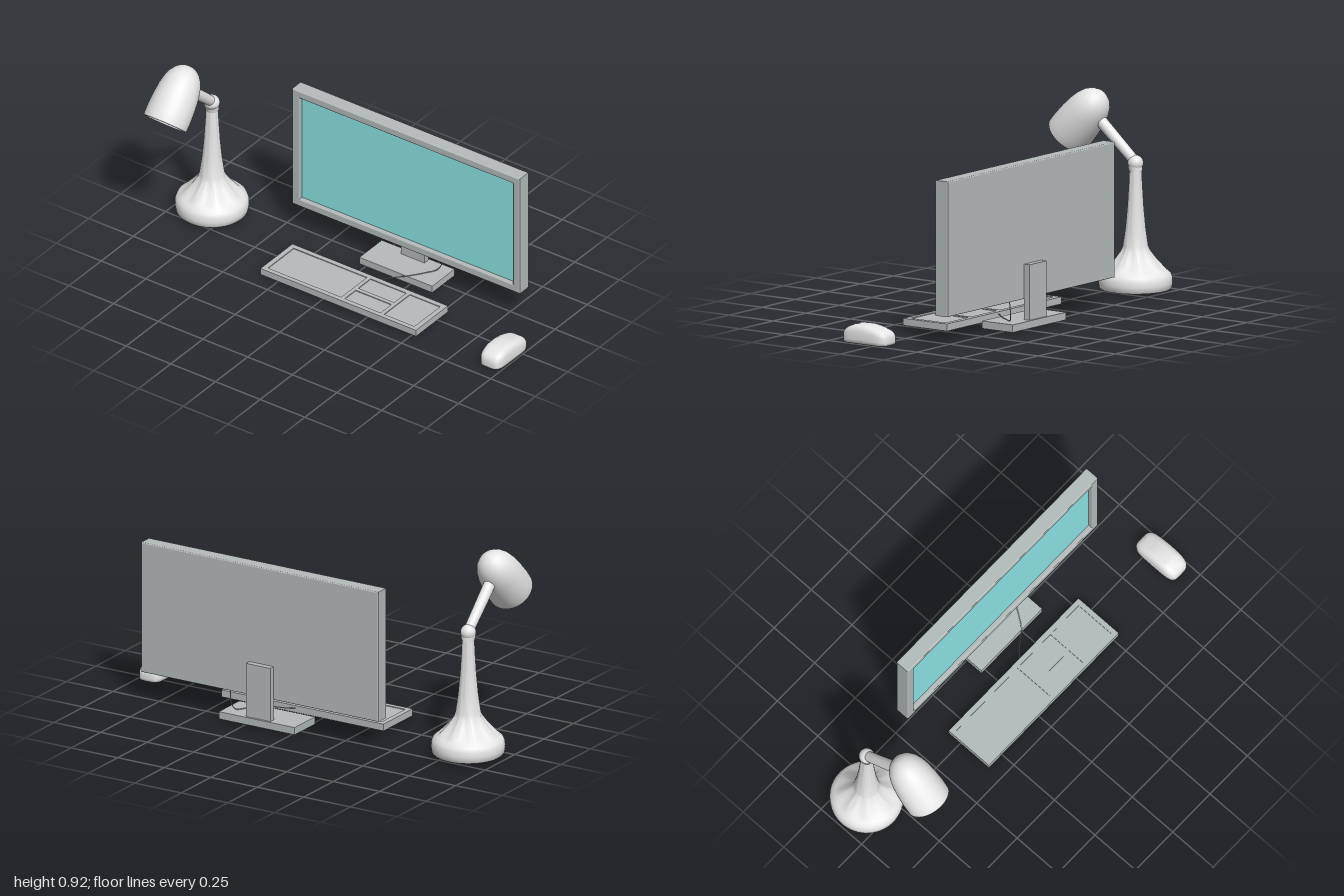
import * as THREE from 'three';
import { toCreasedNormals } from 'three/addons/utils/BufferGeometryUtils.js';

const mat = (name, color) => Object.assign(new THREE.MeshStandardMaterial({ color }), { name });
const V2 = (pts) => pts.map(([x, y]) => new THREE.Vector2(x, y));

export function createModel() {
  const model = new THREE.Group();
  const white = mat('lightGrey', 0xe6e6e6);
  white.side = THREE.DoubleSide;
  const grey = mat('midGrey', 0xb4bcbb);
  const teal = mat('screenTeal', 0x8ce4e6);

  const add = (name, geometry, material, parent = model) => {
    const mesh = new THREE.Mesh(geometry, material);
    mesh.name = name;
    parent.add(mesh);
    return mesh;
  };
  const group = (name) => {
    const g = new THREE.Group();
    g.name = name;
    model.add(g);
    return g;
  };
  // Box given by its limits on each axis
  const box = (name, [x0, x1], [y0, y1], [z0, z1], material, parent) => {
    const m = add(name, new THREE.BoxGeometry(x1 - x0, y1 - y0, z1 - z0), material, parent);
    m.position.set((x0 + x1) / 2, (y0 + y1) / 2, (z0 + z1) / 2);
  };
  const rect = (C, [x0, x1], [y0, y1]) => new C(V2([[x0, y0], [x1, y0], [x1, y1], [x0, y1]]));
  // Flat slab with rectangular holes; holes are [xRange, zRange]
  const slab = (name, xr, [y0, y1], [z0, z1], holes, material, parent) => {
    const s = rect(THREE.Shape, xr, [-z1, -z0]);
    for (const [hx, [a, b]] of holes) s.holes.push(rect(THREE.Path, hx, [-b, -a]));
    const g = new THREE.ExtrudeGeometry(s, { depth: y1 - y0, bevelEnabled: false });
    g.rotateX(-Math.PI / 2).translate(0, y0, 0);
    add(name, g, material, parent);
  };

  // ---- Monitor: rounded frame, back panel and recessed screen ----
  const monitor = group('monitor');
  const b = 0.005;
  const frame = rect(THREE.Shape, [-0.451 + b, 0.823 - b], [0.142 + b, 0.767 - b]);
  frame.holes.push(rect(THREE.Path, [-0.41 - b, 0.785 + b], [0.18 - b, 0.73 + b]));
  const frameGeo = new THREE.ExtrudeGeometry(frame, {
    depth: 0.061, bevelSize: b, bevelThickness: b, bevelSegments: 3,
  });
  add('monitorFrame', frameGeo, grey, monitor).position.z = -0.286;
  box('monitorBack', [-0.416, 0.791], [0.174, 0.736], [-0.291, -0.25], grey, monitor);
  box('screen', [-0.412, 0.787], [0.178, 0.732], [-0.25, -0.242], teal, monitor);

  // Stand: upright neck and a foot hollow underneath
  box('standNeck', [0.11, 0.24], [0.04, 0.303], [-0.32, -0.29], grey, monitor);
  const fx = [-0.027, 0.38], fz = [-0.33, -0.156];
  const inner = [[fx[0] + 0.025, fx[1] - 0.025], [fz[0] + 0.025, fz[1] - 0.025]];
  slab('standFootRim', fx, [0.012, 0.028], fz, [inner], grey, monitor);
  box('standFootTop', fx, [0.028, 0.047], fz, grey, monitor);

  // ---- Keyboard: rimmed shell with recessed key areas ----
  const keyboard = group('keyboard');
  const kx = [-0.34, 0.53], kz = [-0.07, 0.178];
  const areas = [
    [[-0.315, 0.095], [-0.045, 0.155]],
    [[0.115, 0.315], [-0.045, 0.05]],
    [[0.115, 0.315], [0.07, 0.155]],
    [[0.335, 0.505], [-0.045, 0.155]],
  ];
  const hollow = [[kx[0] + 0.025, kx[1] - 0.025], [kz[0] + 0.025, kz[1] - 0.025]];
  slab('keyboardRim', kx, [0.012, 0.029], kz, [hollow], grey, keyboard);
  slab('keyboardTop', kx, [0.029, 0.045], kz, areas, grey, keyboard);
  for (const [ax, az] of areas) box('keyArea', ax, [0.024, 0.041], az, grey, keyboard);

  // Cable from the keyboard to the bottom of the monitor
  const cable = new THREE.CatmullRomCurve3([
    [0.135, 0.033, -0.068], [0.165, 0.037, -0.1], [0.245, 0.05, -0.16], [0.29, 0.051, -0.22],
    [0.325, 0.054, -0.275], [0.34, 0.085, -0.288], [0.345, 0.145, -0.286],
  ].map((p) => new THREE.Vector3(...p)));
  add('cable', new THREE.TubeGeometry(cable, 40, 0.0025, 6), grey);

  // ---- Mouse: stacked rounded rings, hollow underneath ----
  const topHeight = (z) => {
    const k = [[-0.058, 0.062], [0.05, 0.091], [0.125, 0.089], [0.19, 0.064]];
    let i = 0;
    while (i < 2 && z > k[i + 1][0]) i++;
    return THREE.MathUtils.lerp(k[i][1], k[i + 1][1], (z - k[i][0]) / (k[i + 1][0] - k[i][0]));
  };
  // [inset from outline, share of the local height]
  const halfX = 0.06;
  const rings = [
    [halfX, 0.72], [0.026, 0.72], [0.016, 0.04], [0.006, 0.04], [0.001, 0.1], [0, 0.25],
    [0, 0.62], [0.003, 0.78], [0.01, 0.91], [0.021, 0.98], [0.035, 1], [halfX, 1],
  ];
  const N = 40, pos = [], idx = [];
  rings.forEach(([inset, share], r) => {
    for (let i = 0; i < N; i++) {
      const a = (i / N) * Math.PI * 2, c = Math.cos(a), s = Math.sin(a);
      const x = (halfX - inset) * Math.sign(c) * Math.abs(c) ** 0.45;
      const z = 0.065 + (0.123 - inset) * Math.sign(s) * Math.abs(s) ** 0.45;
      pos.push(0.939 + x, share * topHeight(z), z);
      if (r < rings.length - 1) {
        const p = r * N + i, q = r * N + ((i + 1) % N);
        idx.push(p, p + N, q, q, p + N, q + N);
      }
    }
  });
  const mouse = new THREE.BufferGeometry();
  mouse.setAttribute('position', new THREE.Float32BufferAttribute(pos, 3));
  mouse.setIndex(idx);
  add('mouse', toCreasedNormals(mouse, 0.9), white);

  // ---- Desk lamp ----
  const lamp = group('deskLamp');
  lamp.position.set(-0.83, 0, -0.125);
  // Hollow bell base running up into a tapering column
  const baseGeo = new THREE.LatheGeometry(V2([
    [0, 0.19], [0.05, 0.18], [0.11, 0.105], [0.145, 0.08], [0.152, 0.05], [0.152, 0.024],
    [0.16, 0.02], [0.166, 0.026], [0.169, 0.05], [0.168, 0.072], [0.161, 0.09], [0.146, 0.103],
    [0.124, 0.119], [0.09, 0.158], [0.064, 0.195], [0.058, 0.215], [0.046, 0.3], [0.037, 0.4],
    [0.031, 0.5], [0.028, 0.57], [0, 0.58],
  ]), 64);
  // Flutes on the shoulder, outside only
  const bp = baseGeo.attributes.position;
  for (let i = 0; i < bp.count; i++) {
    const x = bp.getX(i), y = bp.getY(i), z = bp.getZ(i);
    if (y < 0.115 || y > 0.2 || Math.hypot(x, z) < 0.06) continue;
    const k = 1 + 0.045 * Math.cos(8 * Math.atan2(z, x));
    bp.setXYZ(i, x * k, y, z * k);
  }
  baseGeo.computeVertexNormals();
  add('lampBaseAndColumn', toCreasedNormals(baseGeo, 0.9), white, lamp);

  // Elbow
  const collar = add('elbowCollar', new THREE.CylinderGeometry(0.034, 0.03, 0.03, 32), white, lamp);
  collar.position.set(0, 0.572, 0);
  collar.rotation.x = 0.2;
  add('elbowJoint', new THREE.SphereGeometry(0.036, 32, 20), white, lamp).position.set(0, 0.598, 0);

  // Arm
  const from = new THREE.Vector3(0, 0.602, 0), to = new THREE.Vector3(0.006, 0.79, 0.213);
  const dir = to.clone().sub(from);
  const arm = add('lampArm', new THREE.CylinderGeometry(0.028, 0.024, dir.length(), 28), white, lamp);
  arm.position.copy(from).add(to).multiplyScalar(0.5);
  arm.quaternion.setFromUnitVectors(new THREE.Vector3(0, 1, 0), dir.normalize());

  // Shade: thick-walled dome with a rounded lip, open to the front and below
  const shade = add('lampShade', new THREE.LatheGeometry(V2([
    [0, 0.25], [0.04, 0.236], [0.066, 0.2], [0.08, 0.15], [0.085, 0.07], [0.086, 0.012],
    [0.089, 0.004], [0.095, 0], [0.102, 0.001], [0.106, 0.006], [0.107, 0.05], [0.104, 0.11],
    [0.098, 0.165], [0.089, 0.205], [0.076, 0.237], [0.058, 0.262], [0.035, 0.279],
    [0.015, 0.285], [0, 0.286],
  ]), 48), white, lamp);
  shade.position.set(0.008, 0.687, 0.3785);
  shade.rotation.x = -0.735;

  return model;
}
